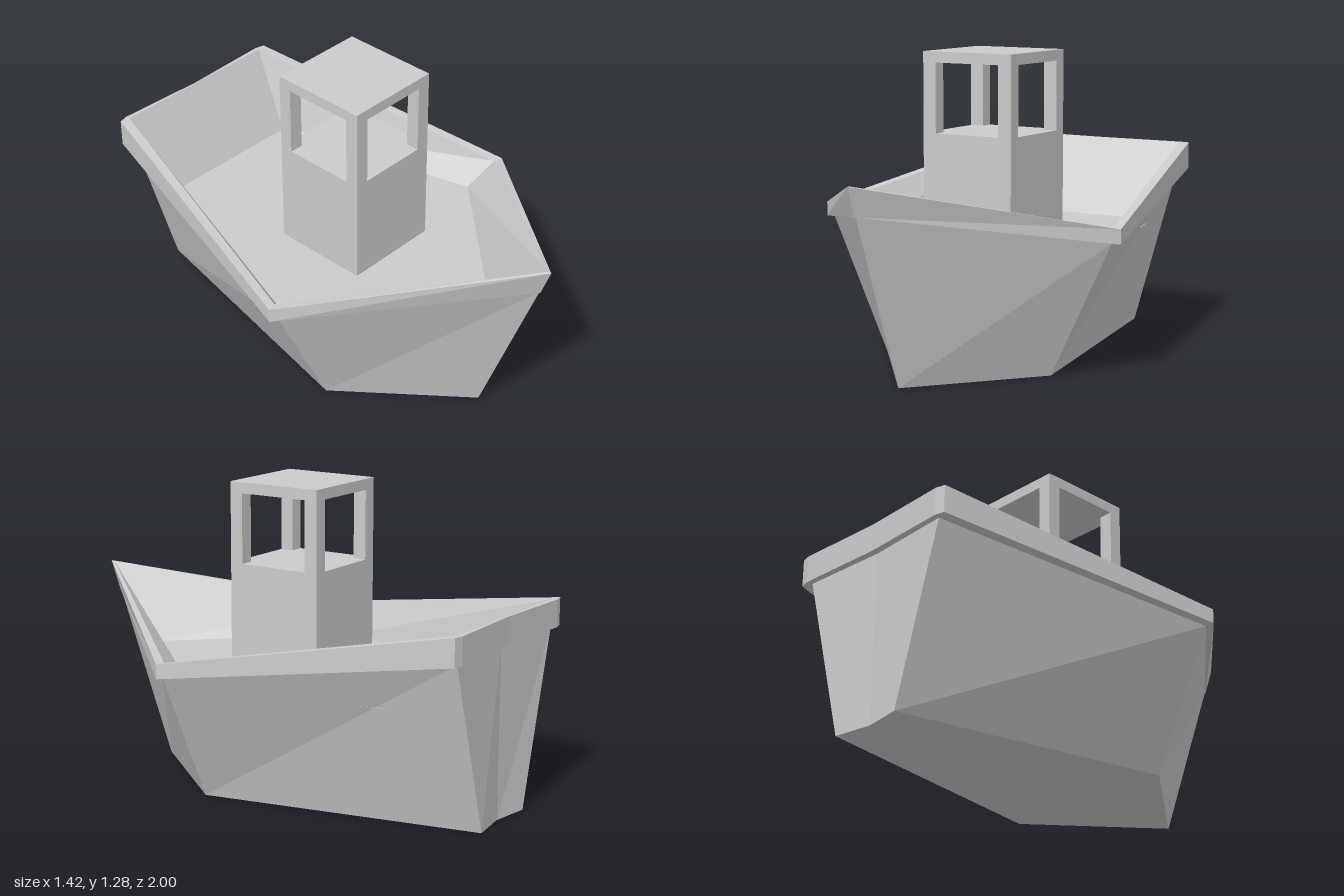
import * as THREE from 'three';

const material = new THREE.MeshStandardMaterial({ color: 0xcccccc, flatShading: true });

// Mirrored outline: bow, widest point, stern corner (two points), stern centre
function ring(bow, side, cornerA, cornerB, centre) {
  const half = [side, cornerA, cornerB];
  const mirrored = half.map(([x, y, z]) => [-x, y, z]).reverse();
  return [bow, ...half, centre, ...mirrored].map(p => new THREE.Vector3(...p));
}

// Joins successive rings with flat faces; optional caps close the first or last ring
function loft(name, rings, { floor = false, deck = false } = {}) {
  const positions = [];
  const tri = (a, b, c) => {
    const area = b.clone().sub(a).cross(c.clone().sub(a)).length();
    if (area > 1e-7) for (const p of [a, b, c]) positions.push(p.x, p.y, p.z);
  };
  for (let r = 0; r < rings.length - 1; r++) {
    const low = rings[r], high = rings[r + 1], n = low.length;
    for (let i = 0; i < n; i++) {
      const j = (i + 1) % n;
      tri(low[i], low[j], high[j]);
      tri(low[i], high[j], high[i]);
    }
  }
  const cap = (loop, up) => {
    const mid = new THREE.Vector3(0, loop[0].y, 0);
    loop.forEach((p, i) => {
      const q = loop[(i + 1) % loop.length];
      up ? tri(mid, p, q) : tri(mid, q, p);
    });
  };
  if (floor) cap(rings[0], false);
  if (deck) cap(rings[rings.length - 1], true);

  const geometry = new THREE.BufferGeometry();
  geometry.setAttribute('position', new THREE.Float32BufferAttribute(positions, 3));
  geometry.computeVertexNormals();
  const mesh = new THREE.Mesh(geometry, material);
  mesh.name = name;
  return mesh;
}

// Box given by its minimum and maximum corners
function block(name, [x0, y0, z0], [x1, y1, z1]) {
  const mesh = new THREE.Mesh(new THREE.BoxGeometry(x1 - x0, y1 - y0, z1 - z0), material);
  mesh.position.set((x0 + x1) / 2, (y0 + y1) / 2, (z0 + z1) / 2);
  mesh.name = name;
  return mesh;
}

function createCabin() {
  const cabin = new THREE.Group();
  cabin.name = 'cabin';
  const w = 0.21, back = -0.235, front = 0.185;
  const base = 0.5, sill = 0.945, lintel = 1.235, top = 1.28;
  const postX = 0.06, postZ = 0.057;
  cabin.add(block('cabinBase', [-w, base, back], [w, sill, front]));
  cabin.add(block('cabinRoof', [-w, lintel, back], [w, top, front]));
  // Corner posts between the four window openings
  for (const x of [-w, w - postX]) {
    for (const z of [back, front - postZ]) {
      cabin.add(block('cabinPost', [x, sill, z], [x + postX, lintel, z + postZ]));
    }
  }
  return cabin;
}

export function createModel() {
  const boat = new THREE.Group();
  boat.name = 'boat';

  const keel = ring([0, 0, 0.68], [0.4, 0, 0.185], [0.17, 0, -0.98], [0.17, 0, -0.98], [0, 0, -0.955]);
  const hullTop = ring([0, 0.71, 0.95], [0.67, 0.56, 0.185], [0.38, 0.715, -0.975], [0.38, 0.715, -0.975], [0, 0.715, -0.955]);
  const rimLow = ring([0, 0.71, 0.955], [0.71, 0.56, 0.185], [0.427, 0.715, -0.99], [0.385, 0.715, -1], [0, 0.715, -0.985]);
  const rimTop = ring([0, 0.83, 1], [0.71, 0.62, 0.185], [0.427, 0.83, -0.99], [0.385, 0.83, -1], [0, 0.83, -0.985]);
  const rimInner = ring([0, 0.83, 0.985], [0.67, 0.62, 0.175], [0.385, 0.83, -0.98], [0.385, 0.83, -0.98], [0, 0.83, -0.98]);
  const deckEdge = ring([0, 0.5, 0.72], [0.575, 0.5, 0.11], [0.347, 0.5, -0.8], [0.347, 0.5, -0.8], [0, 0.5, -0.8]);

  boat.add(loft('hull', [keel, hullTop], { floor: true }));
  boat.add(loft('gunwale', [hullTop, rimLow, rimTop, rimInner]));
  boat.add(loft('deck', [rimInner, deckEdge], { deck: true }));
  boat.add(createCabin());
  return boat;
}
